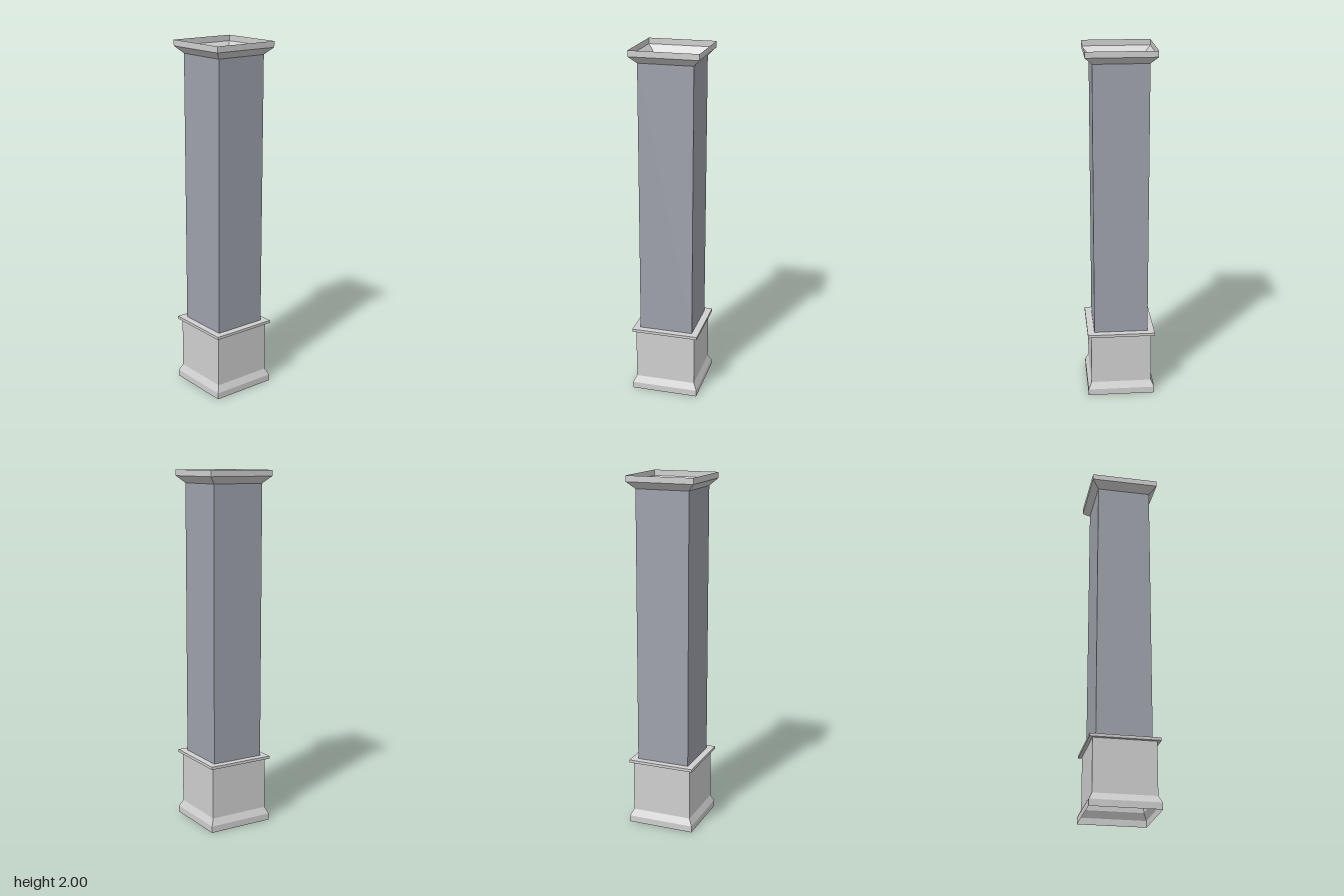
import * as THREE from 'three';

// Open square tube swept from a [halfWidth, y] profile, with hard facets
function squareShell(name, profile, material) {
  const points = profile.map(([half, y]) => new THREE.Vector2(half * Math.SQRT2, y));
  const geometry = new THREE.LatheGeometry(points, 4, Math.PI / 4).toNonIndexed();
  geometry.computeVertexNormals();
  const mesh = new THREE.Mesh(geometry, material);
  mesh.name = name;
  return mesh;
}

export function createModel() {
  const trim = new THREE.MeshStandardMaterial({ color: 0xd0d0d0, side: THREE.DoubleSide });
  trim.name = 'pale grey trim';
  const stone = new THREE.MeshStandardMaterial({ color: 0x9fa2ac, side: THREE.DoubleSide });
  stone.name = 'blue grey shaft';

  const outer = 0.192, pedestal = 0.173, shaft = 0.153;
  const column = new THREE.Group();
  column.name = 'squareColumn';
  column.add(
    // Pedestal with a sloped foot, open underneath
    squareShell('pedestal', [[outer, 0], [outer, 0.037], [pedestal, 0.075], [pedestal, 0.37]], trim),
    // Thin projecting ledge around the bottom of the shaft
    squareShell('ledge', [[pedestal, 0.37], [outer, 0.37], [outer, 0.386], [shaft, 0.386]], trim),
    // Hollow shaft
    squareShell('shaft', [[shaft, 0.386], [shaft, 1.928]], stone),
    // Flared capital, open on top
    squareShell('capital', [[shaft, 1.928], [outer, 1.967], [outer, 2]], trim)
  );
  return column;
}
